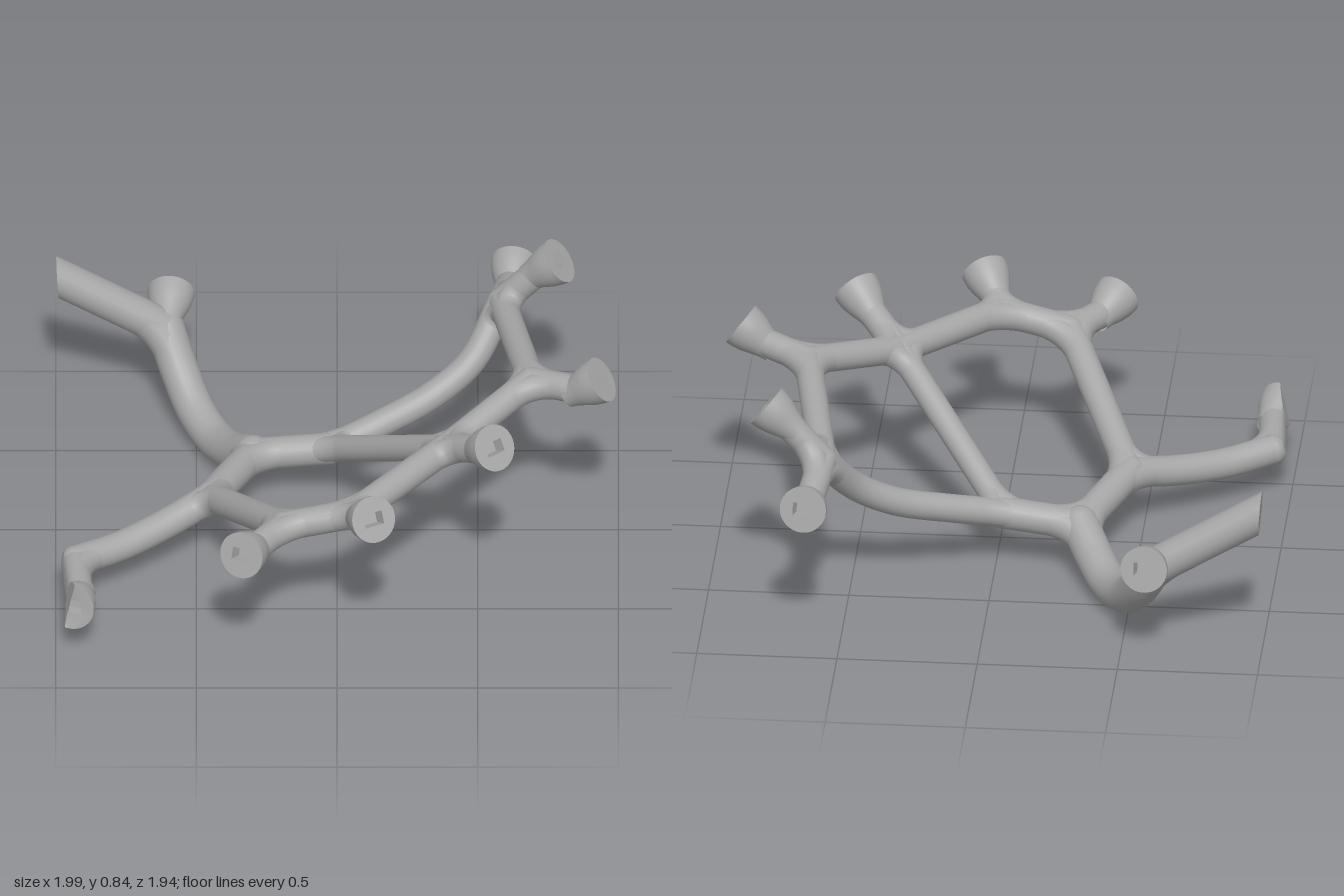
import * as THREE from 'three';
import { toCreasedNormals } from 'three/addons/utils/BufferGeometryUtils.js';

const V = (x, y, z) => new THREE.Vector3(x, y, z);

// Joints of the branching frame
const nodes = {
  A: V(-0.30, 0.19, -0.22), B: V(-0.03, 0.22, -0.21), C: V(-0.45, 0.235, 0.12),
  D: V(-0.19, 0.50, 0.69), E: V(0.06, 0.56, 0.70), F: V(0.39, 0.585, 0.32),
  G: V(0.69, 0.675, 0.03), H: V(0.585, 0.595, -0.59),
  J: V(-0.93, 0.18, 0.44), K: V(-0.61, 0.33, -0.81),
};

// Struts: name, ends, radius, points between
const struts = [
  ['backBridge', 'A', 'B', 0.058], ['rightBridge', 'A', 'C', 0.058],
  ['rightStrut', 'C', 'D', 0.053], ['frontBridge', 'D', 'E', 0.053],
  ['frontStrut', 'E', 'F', 0.053], ['leftStrut', 'F', 'G', 0.051],
  ['outerStrut', 'G', 'H', 0.050], ['crossStrut', 'B', 'F', 0.047],
  ['curvedStrut', 'B', 'H', 0.051, [V(0.15, 0.27, -0.29), V(0.34, 0.335, -0.38), V(0.48, 0.43, -0.46)]],
  ['rearArm', 'A', 'K', 0.069, [V(-0.37, 0.115, -0.35), V(-0.43, 0.083, -0.47), V(-0.50, 0.115, -0.60), V(-0.56, 0.21, -0.72)]],
  ['rightArm', 'C', 'J', 0.055, [V(-0.60, 0.195, 0.22), V(-0.77, 0.172, 0.335)]],
];

// Sockets: joint, centre of the face, facing direction
const sockets = [
  ['D', V(-0.34, 0.53, 0.92), V(-0.45, 0.3, 0.85)],
  ['E', V(0.13, 0.64, 0.855), V(0.42, 0.45, 0.8)],
  ['F', V(0.56, 0.72, 0.52), V(0.55, 0.5, 0.67)],
  ['G', V(0.94, 0.755, 0.14), V(0.8, 0.57, 0.2)],
  ['H', V(0.79, 0.79, -0.56), V(0.76, 0.6, 0.18)],
  ['H', V(0.63, 0.552, -0.90), V(0.12, 0.22, -0.97)],
  ['K', V(-0.59, 0.39, -0.95), V(0.1, 0.22, -0.97)],
  ['J', V(-0.945, 0.205, 0.77), V(-0.28, 0.17, 0.94)],
];

// Slide everything beyond the plane x = limit(y, z) back along a direction
function cut(geo, limit, dir) {
  const p = geo.attributes.position;
  for (let i = 0; i < p.count; i++) {
    const v = V(0, 0, 0).fromBufferAttribute(p, i);
    for (let k = 0; k < 4; k++) {
      const d = limit(v.y, v.z) - v.x;
      if (d > 0) v.addScaledVector(dir, d / dir.x);
    }
    p.setXYZ(i, v.x, v.y, v.z);
  }
  return toCreasedNormals(geo, 0.7);
}
const sidePlane = (y, z) => -0.965 + 0.22 * (y - 0.19) + 0.07 * (z - 0.6);
const trimSide = (geo) => cut(geo, sidePlane, V(1, 0, 0));

const tube = (pts, r, n = 32) =>
  new THREE.TubeGeometry(new THREE.CatmullRomCurve3(pts, false, 'centripetal'), n, r, 20);
const ball = (c, r) => new THREE.SphereGeometry(r, 24, 16).translate(c.x, c.y, c.z);

// Cup with a flat face and a rectangular pocket, facing +z
function cupParts() {
  const profile = [[0.046, -0.15], [0.052, -0.12], [0.063, -0.09], [0.074, -0.06], [0.081, -0.03], [0.084, 0]];
  const bowl = new THREE.LatheGeometry(profile.map(([r, y]) => new THREE.Vector2(r, y)), 32).rotateX(Math.PI / 2);
  const face = new THREE.Shape().absarc(0, 0, 0.0838, 0, Math.PI * 2);
  const w = 0.037, h = 0.024, hole = new THREE.Path();
  hole.moveTo(-w, -h).lineTo(-w, h).lineTo(w, h).lineTo(w, -h).closePath();
  face.holes.push(hole);
  const rim = new THREE.ExtrudeGeometry(face, { depth: 0.05, bevelEnabled: false, curveSegments: 32 }).translate(0, 0, -0.05);
  const p = rim.attributes.position;
  for (let i = 0; i < p.count; i++) if (p.getZ(i) < -0.01) p.setXY(i, p.getX(i) * 0.85, p.getY(i) * 0.85);
  rim.computeVertexNormals();
  const floor = new THREE.PlaneGeometry(0.08, 0.05).translate(0, 0, -0.048);
  return { socketBowl: bowl, socketFace: toCreasedNormals(rim, 0.5), socketFloor: floor };
}

export function createModel() {
  const model = new THREE.Group();
  model.name = 'branchingFrame';
  const grey = new THREE.MeshStandardMaterial({ color: 0xa6a6a6, side: THREE.DoubleSide });
  grey.name = 'grey';
  const add = (name, geo, parent = model) => {
    const mesh = new THREE.Mesh(geo, grey);
    mesh.name = name;
    parent.add(mesh);
  };
  const spokes = {}; // branches leaving each joint, for the fillets
  const spoke = (n, curve, r) => (spokes[n] ??= []).push({ curve, r });

  // Struts
  for (const [name, a, b, r, mid = []] of struts) {
    const pts = [nodes[a], ...mid, nodes[b]];
    const geo = tube(pts, r, mid.length ? 48 : 24);
    add(name, b === 'J' ? trimSide(geo) : geo);
    spoke(a, new THREE.CatmullRomCurve3(pts, false, 'centripetal'), r);
    spoke(b, new THREE.CatmullRomCurve3([...pts].reverse(), false, 'centripetal'), r);
  }

  // Open arm end, cut off upright at the side
  const armDir = V(-0.38, 0.225, 0.01);
  const armTip = nodes.K.clone().addScaledVector(armDir, 1.35);
  const endPlane = (y) => -0.993 - 0.06 * (0.55 - y) * -1;
  const back = armDir.clone().negate();
  add('sideArm', cut(tube([nodes.K, armTip], 0.067, 40), endPlane, back));
  add('sideArmEnd', cut(ball(armTip, 0.067), endPlane, back));
  spoke('K', new THREE.CatmullRomCurve3([nodes.K, armTip]), 0.067);

  // Sockets on short stems
  for (const [n, centre, facing] of sockets) {
    const group = new THREE.Group();
    group.name = 'socket';
    model.add(group);
    const z = facing.clone().normalize();
    const x = V(0, 1, 0).cross(z).normalize();
    const m = new THREE.Matrix4().makeBasis(x, z.clone().cross(x), z).setPosition(centre);
    const trim = n === 'J' ? trimSide : (g) => g;
    for (const [name, geo] of Object.entries(cupParts())) add(name, trim(geo.applyMatrix4(m)), group);
    const stem = [nodes[n], centre.clone().addScaledVector(z, -0.1)];
    add('socketStem', trim(tube(stem, 0.051, 16)), group);
    spoke(n, new THREE.CatmullRomCurve3(stem), 0.051);
  }

  // Joints: a ball, and curved fillets between each pair of branches
  for (const [n, list] of Object.entries(spokes)) {
    const trim = n === 'J' ? trimSide : (g) => g;
    const r = Math.max(...list.map((s) => s.r));
    add('joint', trim(ball(nodes[n], r)));
    const at = (s) => s.curve.getPointAt(Math.min(0.9, 0.13 / s.curve.getLength()));
    list.forEach((s, i) => list.slice(i + 1).forEach((t) => {
      const bend = new THREE.QuadraticBezierCurve3(at(s), nodes[n], at(t));
      add('jointFillet', trim(new THREE.TubeGeometry(bend, 16, Math.min(s.r, t.r) * 0.97, 16)));
    }));
  }
  return model;
}
